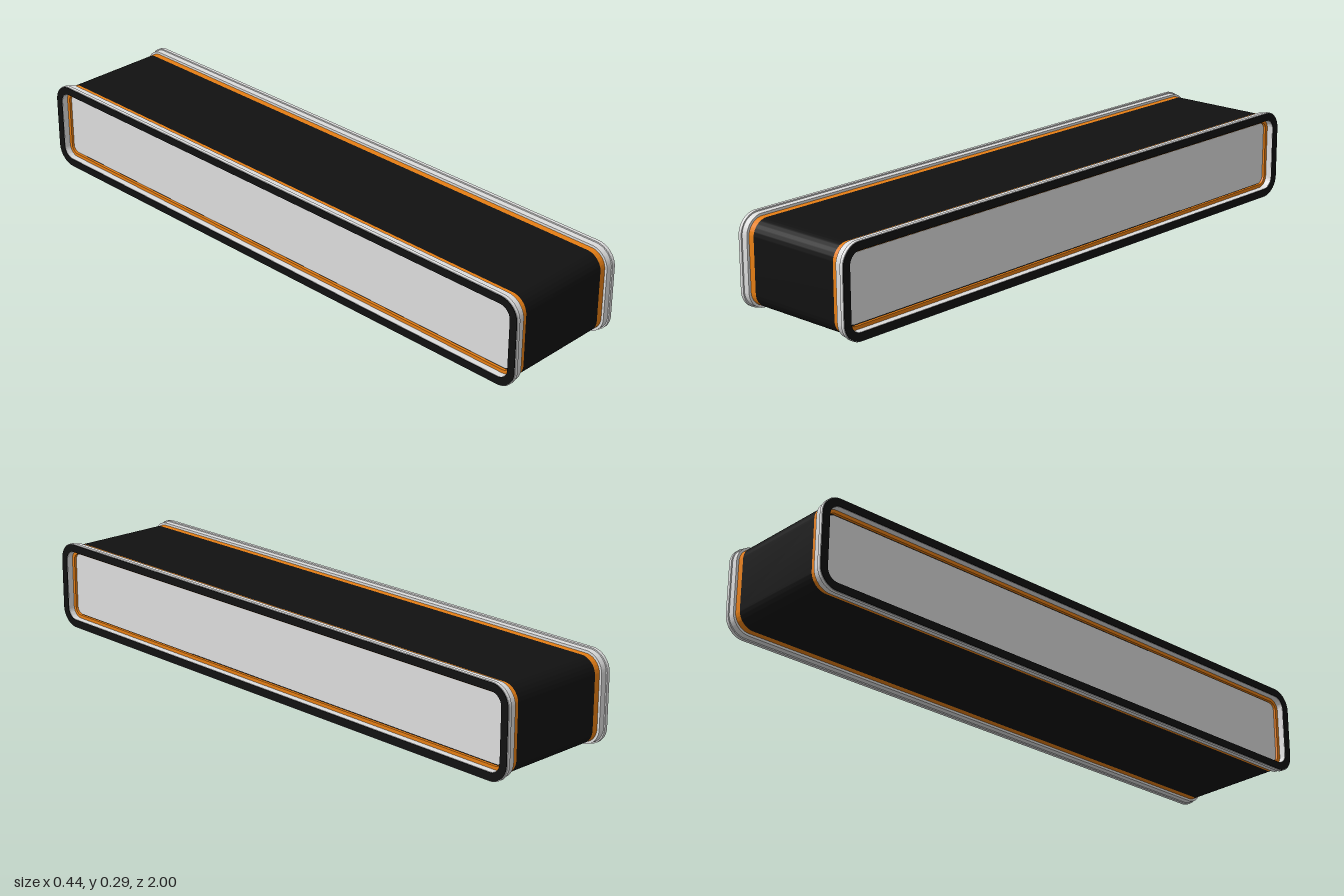
import * as THREE from 'three';
import { toCreasedNormals } from 'three/addons/utils/BufferGeometryUtils.js';

const HEIGHT = 0.293, RADIUS = 0.064;

// Rounded rectangle in the z/y plane, shrunk from the outer outline by an inset
function outline(inset, Type = THREE.Shape) {
  const w = 1 - inset, h = HEIGHT / 2 - inset, r = Math.max(RADIUS - inset, 0.012);
  const s = new Type();
  s.moveTo(-w + r, -h);
  s.lineTo(w - r, -h);
  s.absarc(w - r, -h + r, r, -Math.PI / 2, 0);
  s.lineTo(w, h - r);
  s.absarc(w - r, h - r, r, 0, Math.PI / 2);
  s.lineTo(-w + r, h);
  s.absarc(-w + r, h - r, r, Math.PI / 2, Math.PI);
  s.lineTo(-w, -h + r);
  s.absarc(-w + r, -h + r, r, Math.PI, Math.PI * 1.5);
  return s;
}

// Slab or ring running from x0 to x1, with an optional hole
function slab(name, material, x0, x1, inset, holeInset) {
  const shape = outline(inset);
  if (holeInset) shape.holes.push(outline(holeInset, THREE.Path));
  let geo = new THREE.ExtrudeGeometry(shape, { depth: x1 - x0, bevelEnabled: false, curveSegments: 10 });
  geo = toCreasedNormals(geo, 0.6);
  geo.rotateY(Math.PI / 2);
  geo.translate(x0, HEIGHT / 2, 0);
  const mesh = new THREE.Mesh(geo, material);
  mesh.name = name;
  return mesh;
}

export function createModel() {
  const black = new THREE.MeshStandardMaterial({ name: 'black', color: 0x111111 });
  const orange = new THREE.MeshStandardMaterial({ name: 'orange', color: 0xe67e14 });
  const grey = new THREE.MeshStandardMaterial({ name: 'lightGrey', color: 0xdcdcdc });

  const model = new THREE.Group();
  model.name = 'roundedCase';
  model.add(slab('body', black, -0.165, 0.165, 0.012));

  // Both ends are alike, the second turned half way round
  for (const side of ['left', 'right']) {
    const end = new THREE.Group();
    end.name = side + 'End';
    end.add(
      slab('orangeBand', orange, 0.165, 0.185, 0.012),
      slab('innerRim', grey, 0.185, 0.205, 0.004, 0.028),
      slab('outerRim', grey, 0.205, 0.216, 0, 0.028),
      slab('rimSeal', black, 0.216, 0.218, 0.002, 0.027),
      slab('orangeTrim', orange, 0.183, 0.195, 0.027, 0.039),
      slab('panelGroove', black, 0.184, 0.186, 0.038, 0.042),
      slab('endPanel', grey, 0.184, 0.189, 0.042)
    );
    if (side === 'right') end.rotation.y = Math.PI;
    model.add(end);
  }
  return model;
}
